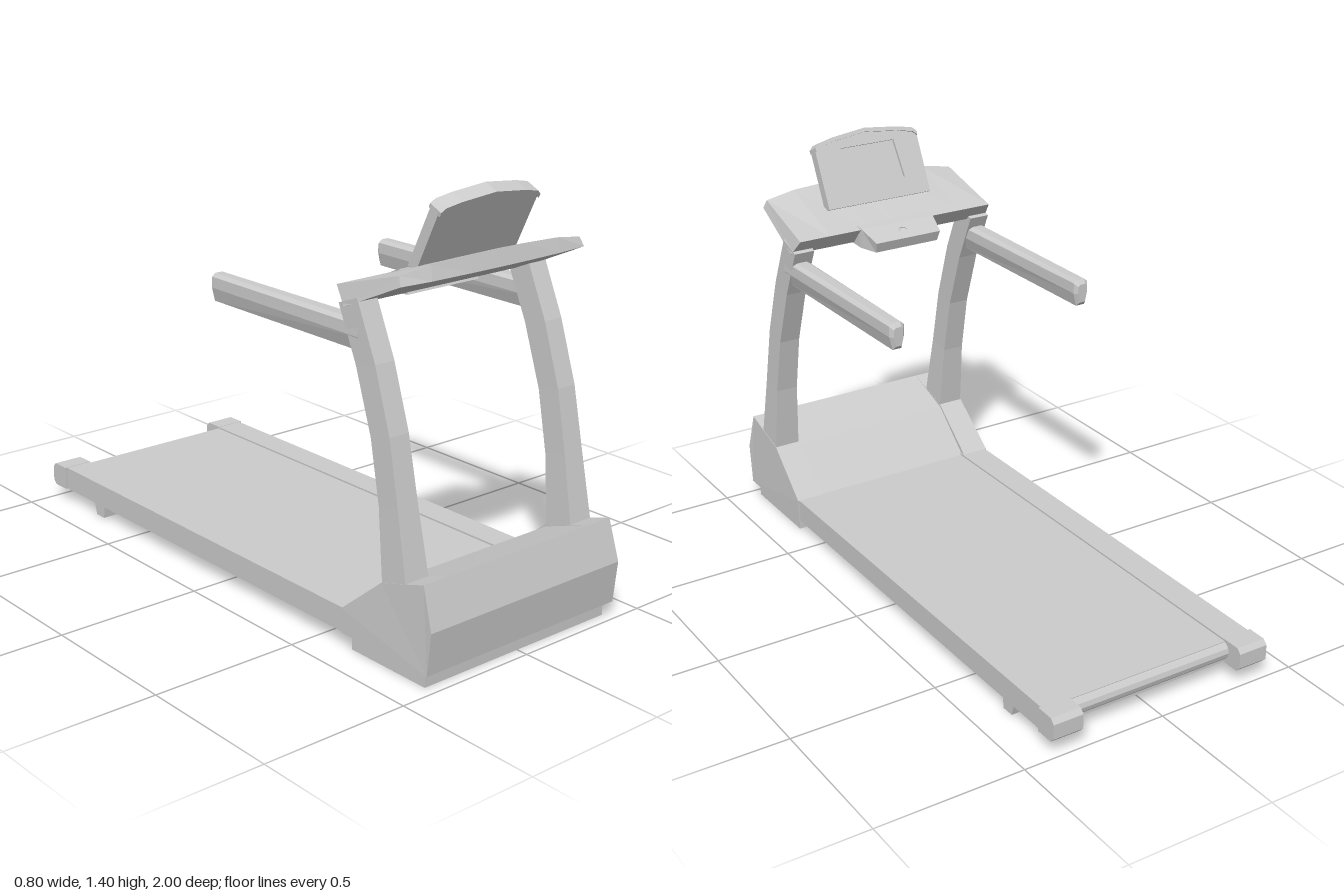
import * as THREE from 'three';

const grey = new THREE.MeshStandardMaterial({ color: 0xcccccc, flatShading: true, side: THREE.DoubleSide });

// Skin a row of convex cross-sections (arrays of [x, y, z]) and close both ends
function loft(sections) {
  const tris = [], n = sections[0].length, last = sections.length - 1;
  for (let s = 0; s < last; s++) {
    const a = sections[s], b = sections[s + 1];
    for (let i = 0; i < n; i++) {
      const j = (i + 1) % n;
      tris.push([a[i], a[j], b[j]], [a[i], b[j], b[i]]);
    }
  }
  for (let i = 1; i < n - 1; i++) {
    tris.push([sections[0][0], sections[0][i + 1], sections[0][i]]);
    tris.push([sections[last][0], sections[last][i], sections[last][i + 1]]);
  }
  // Signed volume tells whether the faces point outward
  const v = p => new THREE.Vector3(...p);
  const volume = tris.reduce((sum, [a, b, c]) => sum + v(a).dot(v(b).cross(v(c))), 0);
  if (volume < 0) tris.forEach(t => t.reverse());
  const geometry = new THREE.BufferGeometry();
  geometry.setAttribute('position', new THREE.Float32BufferAttribute(tris.flat(2), 3));
  geometry.computeVertexNormals();
  return geometry;
}

// Side profile of [z, y] points stretched between two x positions
const acrossX = (profile, x0, x1) => loft([x0, x1].map(x => profile.map(([z, y]) => [x, y, z])));

function add(parent, name, geometry) {
  const mesh = new THREE.Mesh(geometry, grey);
  mesh.name = name;
  parent.add(mesh);
  return mesh;
}

function box(parent, name, [x0, x1], [y0, y1], [z0, z1]) {
  const mesh = add(parent, name, new THREE.BoxGeometry(x1 - x0, y1 - y0, z1 - z0));
  mesh.position.set((x0 + x1) / 2, (y0 + y1) / 2, (z0 + z1) / 2);
  return mesh;
}

function buildBase(g) {
  box(g, 'runningDeck', [-0.3, 0.3], [0.05, 0.124], [-0.925, 0.7]);
  const roller = add(g, 'rearRoller', new THREE.CylinderGeometry(0.032, 0.032, 0.6, 12));
  roller.rotation.z = Math.PI / 2;
  roller.position.set(0, 0.092, -0.915);
  box(g, 'frontBase', [-0.38, 0.38], [0, 0.052], [0.64, 0.96]);
  add(g, 'rearFoot', acrossX([[-0.70, 0.052], [-0.705, 0], [-0.75, 0], [-0.765, 0.052]], -0.38, 0.38));
  add(g, 'motorHood', acrossX(
    [[0.985, 0.05], [1, 0.19], [0.96, 0.325], [0.78, 0.262], [0.62, 0.12], [0.62, 0.05]], -0.3, 0.3));
}

function buildSide(g, side) {
  const name = side > 0 ? 'left' : 'right';
  const x = (a, b) => [Math.min(side * a, side * b), Math.max(side * a, side * b)];
  box(g, name + 'SideRail', x(0.295, 0.392), [0.05, 0.13], [-0.925, 0.7]);

  // Bevelled cap behind each rail
  add(g, name + 'EndCap', acrossX(
    [[-0.92, 0.05], [-0.92, 0.131], [-0.985, 0.131], [-1, 0.115], [-1, 0.065], [-0.985, 0.05]],
    ...x(0.295, 0.4)));

  // Hood flank that carries the upright
  const flank = [[0.985, 0.05], [1, 0.19], [0.96, 0.325], [0.88, 0.3], [0.78, 0.27], [0.61, 0.13], [0.61, 0.05]];
  add(g, name + 'HoodFlank', loft([
    flank.map(([z, y]) => [side * 0.3, y, z]),
    flank.map(([z, y]) => [side * (y > 0.2 ? 0.392 : 0.397), y, z])
  ]));

  // Curved upright: back y, back z, front y, front z, inner x, outer x
  const stations = [
    [0.25, 0.785, 0.28, 0.887, 0.3, 0.391],
    [0.5, 0.76, 0.52, 0.84, 0.308, 0.386],
    [0.7, 0.72, 0.72, 0.8, 0.31, 0.384],
    [0.9, 0.652, 0.92, 0.735, 0.31, 0.383],
    [1.07, 0.575, 1.1, 0.655, 0.31, 0.383]
  ];
  add(g, name + 'Upright', loft(stations.map(([yb, zb, yf, zf, xi, xo]) => [
    [side * xi, yb, zb], [side * xo, yb, zb], [side * xo, yf, zf], [side * xi, yf, zf]
  ])));

  // Faceted handrail with a blunt rear end: z, width scale, height scale
  const rail = [[-0.014, 0.045], [0.014, 0.045], [0.026, 0.035], [0.027, 0], [0.016, -0.045], [-0.016, -0.045], [-0.027, 0], [-0.026, 0.035]];
  add(g, name + 'Handrail', loft([[-0.055, 0.65, 0.7], [-0.042, 1, 1], [0.66, 1.3, 1]].map(([z, w, h]) =>
    rail.map(([dx, dy]) => [side * 0.349 + dx * w, 0.985 + dy * h, z]))));
}

function buildConsole(g) {
  // Tilted console, bowed along its front edge: x side factor, front rise, front z
  const half = [[1, 1.192, 0.81], [0.7, 1.208, 0.82], [0.3, 1.214, 0.824]];
  const rows = [...half.map(([f, y, z]) => [-f, y, z]), [0, 1.216, 0.825], ...half.slice().reverse()];
  add(g, 'console', loft(rows.map(([f, y, z]) => [
    [f * 0.365, y, z], [f * 0.373, 1.163, z + 0.013],
    [f * 0.385, 1.062, 0.6], [f * 0.372, 1.118, 0.553]
  ])));

  // Tray at the user's edge with a small safety clip
  add(g, 'consoleTray', loft([
    [[-0.145, 1.127, 0.575], [0.145, 1.127, 0.575], [0.145, 1.058, 0.61], [-0.145, 1.058, 0.61]],
    [[-0.14, 1.121, 0.55], [0.14, 1.121, 0.55], [0.14, 1.052, 0.56], [-0.14, 1.052, 0.56]],
    [[-0.125, 1.088, 0.477], [0.125, 1.088, 0.477], [0.12, 1.052, 0.49], [-0.12, 1.052, 0.49]]
  ]));
  const clip = add(g, 'safetyClip', new THREE.TorusGeometry(0.016, 0.003, 5, 10, Math.PI));
  clip.rotation.x = Math.PI / 2 - 0.4;
  clip.position.set(0, 1.105, 0.51);
}

function buildDisplay(g) {
  const display = new THREE.Group();
  display.name = 'display';
  display.position.set(0, 1.16, 0.682);
  display.rotation.x = 0.448;
  g.add(display);

  const arch = [[0.2, 0.215], [0.185, 0.229], [0.13, 0.241], [0, 0.256], [-0.13, 0.241], [-0.185, 0.229], [-0.2, 0.215]];
  const outline = () => new THREE.Shape([[-0.2, 0], [0.2, 0], ...arch].map(p => new THREE.Vector2(...p)));
  const slab = (name, shape, z, depth) => {
    add(display, name, new THREE.ExtrudeGeometry(shape, { depth, bevelEnabled: false })).position.z = z;
  };
  slab('displayBack', outline(), -0.008, 0.026);

  // Bezel around the recessed screen
  const bezel = outline();
  bezel.holes.push(new THREE.Path([[-0.115, 0.065], [-0.105, 0.2], [0.105, 0.2], [0.115, 0.065]]
    .map(p => new THREE.Vector2(...p))));
  slab('displayBezel', bezel, -0.018, 0.01);

  // Arched lip along the top
  const lip = [...arch, ...arch.slice().reverse().map(([x, y]) => [x * 0.995, y - 0.014])];
  slab('displayLip', new THREE.Shape(lip.map(p => new THREE.Vector2(...p))), -0.024, 0.05);
}

export function createModel() {
  const model = new THREE.Group();
  model.name = 'treadmill';
  buildBase(model);
  for (const side of [1, -1]) buildSide(model, side);
  buildConsole(model);
  buildDisplay(model);
  return model;
}
